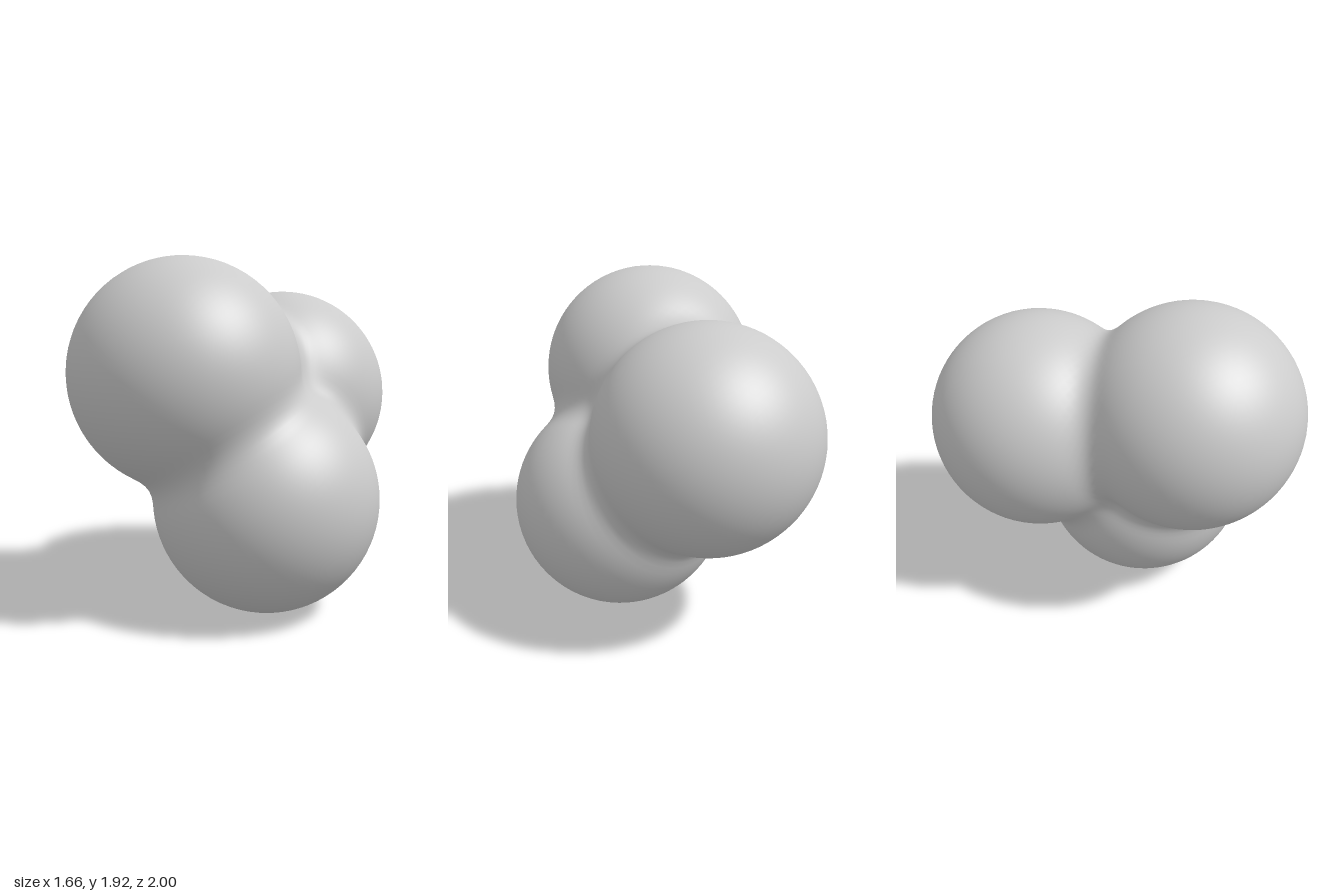
import * as THREE from 'three';
import { mergeVertices } from 'three/addons/utils/BufferGeometryUtils.js';

const RADIUS = 0.618;
const BLEND = 0.12;
const LOBES = [
  new THREE.Vector3(-0.21, 1.3, 0.38), // upper front lobe
  new THREE.Vector3(0.21, 0.615, 0.25), // lower lobe
  new THREE.Vector3(0.205, 1.14, -0.38), // rear lobe
];

// Smooth union of two distances
function smoothMin(a, b) {
  const h = Math.max(BLEND - Math.abs(a - b), 0) / BLEND;
  return Math.min(a, b) - h * h * BLEND * 0.25;
}

const distance = (p) => LOBES.map((c) => p.distanceTo(c) - RADIUS).reduce(smoothMin);

// Every lobe contains the shared centre, so each ray from it meets the skin once
function blendedLobes() {
  const centre = new THREE.Vector3();
  LOBES.forEach((c) => centre.addScaledVector(c, 1 / LOBES.length));

  let geometry = new THREE.IcosahedronGeometry(1, 22);
  geometry.deleteAttribute('uv');
  geometry.deleteAttribute('normal');
  geometry = mergeVertices(geometry, 1e-4);

  const position = geometry.attributes.position;
  const direction = new THREE.Vector3();
  const point = new THREE.Vector3();
  for (let i = 0; i < position.count; i++) {
    direction.fromBufferAttribute(position, i).normalize();
    let inside = 0;
    let outside = 2;
    for (let step = 0; step < 24; step++) {
      const t = (inside + outside) / 2;
      point.copy(centre).addScaledVector(direction, t);
      if (distance(point) < 0) inside = t;
      else outside = t;
    }
    position.setXYZ(i, point.x, point.y, point.z);
  }
  geometry.computeVertexNormals();
  return geometry;
}

export function createModel() {
  const group = new THREE.Group();
  group.name = 'threeLobedBlob';
  const body = new THREE.Mesh(
    blendedLobes(),
    new THREE.MeshStandardMaterial({ color: 0xcccccc })
  );
  body.name = 'blendedLobes';
  group.add(body);
  return group;
}
